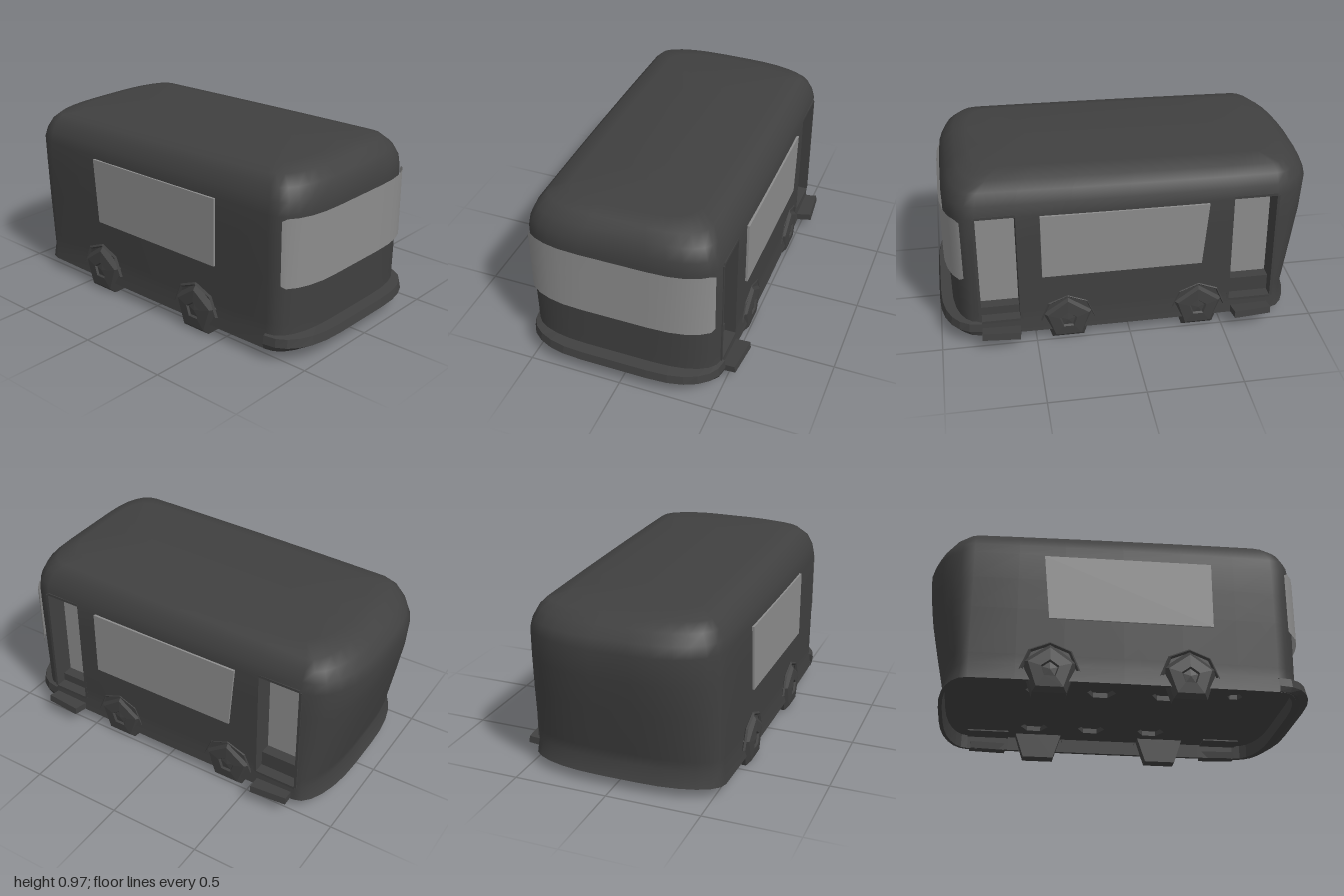
import * as THREE from 'three';

const paint = new THREE.MeshStandardMaterial({ color: 0x404040, side: THREE.DoubleSide });
const flatPaint = new THREE.MeshStandardMaterial({ color: 0x404040, side: THREE.DoubleSide, flatShading: true });
const glass = new THREE.MeshStandardMaterial({ color: 0x8c8c8c, side: THREE.DoubleSide });

const CX = -0.03;                                            // centre of the body in x
const SIDE = [0.785, 0.58, 0.3, 0, -0.3, -0.54, -0.77];      // side columns, door edges included
const N = 6;                                                 // steps per rounded corner
const FRONT = SIDE.length * 2 + N * 2;                       // first column of the front corners
const WALL = 0.482;                                          // x of the door-side wall

// Horizontal outline of the body: side, rear corners, other side, front corners
function ring([y, hw, zf, zb]) {
  const sf = Math.min(0.785, zf - 0.14), sb = Math.max(-0.77, zb + 0.115);
  const side = SIDE.map(z => sb + (sf - sb) * (z + 0.77) / 1.555);
  const pts = [];
  const add = (x, z) => {
    const slope = 0.021 * (0.6 - z) * Math.max(0, (y - 0.765) / 0.205);
    pts.push(new THREE.Vector3(CX + x * (1 - 0.025 * z * z), y - slope, z));
  };
  const corner = (sign, k, start, end, share, power) => {
    const a = k / N * Math.PI / 2, rx = hw * share;
    const c = Math.max(0, Math.cos(a)) ** power, s = Math.sin(a) ** power;
    add(sign * (hw - rx + rx * c), start + (end - start) * s);
  };
  side.forEach(z => add(hw, z));
  for (let k = 1; k <= N; k++) corner(1, k, sb, zb, 0.8, 0.95);
  for (let k = N; k >= 1; k--) corner(-1, k, sb, zb, 0.8, 0.95);
  [...side].reverse().forEach(z => add(-hw, z));
  for (let k = 1; k <= N; k++) corner(-1, k, sf, zf, 0.66, 0.85);
  for (let k = N; k >= 1; k--) corner(1, k, sf, zf, 0.66, 0.85);
  return pts;
}

// Surface through a stack of outlines; skip(row, column) leaves an opening
function loft(rings, closed = true, skip = () => false) {
  const n = rings[0].length, index = [];
  for (let i = 0; i < rings.length - 1; i++) {
    for (let j = 0; j < (closed ? n : n - 1); j++) {
      if (skip(i, j)) continue;
      const a = i * n + j, b = i * n + (j + 1) % n;
      index.push(a, b, b + n, a, b + n, a + n);
    }
  }
  const g = new THREE.BufferGeometry().setFromPoints(rings.flat());
  g.setIndex(index);
  g.computeVertexNormals();
  return g;
}

function part(parent, name, geometry, material, x = 0, y = 0, z = 0) {
  const m = new THREE.Mesh(geometry, material);
  m.name = name;
  m.position.set(x, y, z);
  parent.add(m);
  return m;
}

// Box given by its limits
function block(parent, name, material, x0, x1, y0, y1, z0, z1) {
  return part(parent, name, new THREE.BoxGeometry(x1 - x0, y1 - y0, z1 - z0), material,
    (x0 + x1) / 2, (y0 + y1) / 2, (z0 + z1) / 2);
}

// Recessed doorway with glass, inner step and folding outer step
function makeDoor(name, z0, z1, paneBottom, stepZ, twist) {
  const g = new THREE.Group();
  g.name = name;
  const x0 = WALL - 0.12, y0 = 0.14, y1 = 0.765, t = 0.012;
  block(g, 'doorGlass', glass, x0 - t, x0, y0, y1, z0, z1);
  block(g, 'rearJamb', paint, x0, WALL, y0, y1, z0 - t, z0 + 0.002);
  block(g, 'frontJamb', paint, x0, WALL, y0, y1, z1 - 0.002, z1 + t);
  block(g, 'lintel', paint, x0, WALL, y1 - 0.002, y1 + t, z0, z1);
  block(g, 'sill', paint, x0, WALL, y0 - t, y0 + 0.002, z0, z1);
  block(g, 'innerStep', paint, x0, x0 + 0.06, y0, paneBottom, z0, z1);
  const step = block(g, 'outerStep', paint, WALL - 0.02, 0.56, 0.066, 0.104, stepZ - 0.1, stepZ + 0.1);
  step.rotation.set(0, twist, 0.14);
  return g;
}

// Five-sided wheel with bevelled rim, hub and a peaked arch
function makeWheel(name, sign, z) {
  const g = new THREE.Group();
  g.name = name;
  const profile = [[0, 0], [0.144, 0], [0.144, 0.075], [0.115, 0.098], [0.048, 0.103], [0.04, 0.092], [0, 0.097]];
  const geo = new THREE.LatheGeometry(profile.map(p => new THREE.Vector2(...p)), 5);
  geo.rotateZ(-Math.PI / 2).rotateX(-Math.PI / 2);
  part(g, 'tyre', geo, flatPaint);
  const arch = part(g, 'wheelArch', new THREE.TorusGeometry(0.142, 0.01, 4, 4, Math.PI), flatPaint, 0.078, 0.002);
  arch.rotation.y = Math.PI / 2;
  g.position.set(sign > 0 ? 0.4 : -0.47, 0.116, z);
  if (sign < 0) g.rotation.y = Math.PI;
  return g;
}

export function createModel() {
  const bus = new THREE.Group();
  bus.name = 'bus';

  // Body shell: height, half width, front z, rear z
  const rows = [
    [0.06, 0.525, 0.93, -0.92], [0.14, 0.515, 0.93, -0.89], [0.2, 0.515, 0.93, -0.905],
    [0.45, 0.518, 0.935, -0.955], [0.62, 0.518, 0.94, -0.987], [0.765, 0.517, 0.942, -1.0],
    [0.83, 0.503, 0.935, -0.975], [0.89, 0.475, 0.905, -0.93], [0.935, 0.435, 0.855, -0.87],
    [0.962, 0.34, 0.78, -0.78], [0.972, 0, 0.5, -0.5],
  ];
  const isDoor = (i, j) => i >= 1 && i <= 4 && (j === 0 || j === 5);
  part(bus, 'bodyShell', loft(rows.map(ring), true, isDoor), paint);

  // Underside: thin skirt rim and floor with shallow seat-post sockets
  const inner = [0.135, 0.5, 0.91, -0.89];
  const skirt = [inner, [0.06, 0.505, 0.91, -0.9], rows[0]].map(ring);
  part(bus, 'skirtUnderside', loft(skirt), flatPaint);
  const floor = new THREE.Shape(ring(inner).map(p => new THREE.Vector2(p.x, p.z)));
  const sockets = [[-0.28, 0.62, 0.04]];
  for (const x of [-0.25, 0.28]) for (const z of [-0.4, -0.08, 0.26]) sockets.push([x, z, 0.075]);
  for (const [x, z, r] of sockets) {
    const hex = [0, 1, 2, 3, 4, 5].map(k =>
      new THREE.Vector2(x + r * Math.sin(k * Math.PI / 3), z + r * Math.cos(k * Math.PI / 3)));
    floor.holes.push(new THREE.Path(hex));
    part(bus, 'seatSocket', new THREE.CylinderGeometry(r, r, 0.03, 6, 1, true), flatPaint, x, 0.15, z);
    part(bus, 'socketEnd', new THREE.CylinderGeometry(r, r, 0.005, 6), flatPaint, x, 0.165, z);
  }
  part(bus, 'floor', new THREE.ShapeGeometry(floor).rotateX(Math.PI / 2), flatPaint, 0, 0.135, 0);

  // Front bumper wrapping both corners
  const bumper = [
    [0.06, 0.51, 0.92, -0.9], [0.062, 0.53, 0.95, -0.9], [0.09, 0.538, 1.0, -0.9],
    [0.135, 0.532, 0.99, -0.9], [0.142, 0.505, 0.92, -0.9],
  ].map(r => {
    const p = ring(r);
    return [...p.slice(FRONT - 1), p[0]];
  });
  part(bus, 'frontBumper', loft(bumper, false), flatPaint);

  // Curved windscreen with clipped corners
  const screen = [0.4, 0.42, 0.58, 0.74, 0.76].map((y, i) => {
    const p = ring([y, 0.53, 0.957, -1]).slice(FRONT, FRONT + 2 * N);
    const last = p.length - 1;
    const clip = i === 0 ? 0.014 : i === 4 ? -0.014 : 0;
    for (const [end, next] of [[p[0], p[1]], [p[last], p[last - 1]]]) {
      end.lerp(next, 0.5);
      end.y += clip;
    }
    return p;
  });
  part(bus, 'windscreen', loft(screen, false), glass);

  // Side windows, slanted at the rear edge
  const pane = new THREE.Shape([[-0.46, 0.4], [0.38, 0.4], [0.41, 0.755], [-0.46, 0.762]]
    .map(p => new THREE.Vector2(...p)));
  const paneGeo = new THREE.ExtrudeGeometry(pane, { depth: 0.02, bevelEnabled: false }).rotateY(Math.PI / 2);
  part(bus, 'leftSideWindow', paneGeo, glass, 0.477);
  part(bus, 'rightSideWindow', paneGeo, glass, -0.556);

  bus.add(makeDoor('frontDoor', 0.58, 0.785, 0.19, 0.685, -0.09));
  bus.add(makeDoor('rearDoor', -0.77, -0.54, 0.23, -0.655, 0.09));

  for (const [end, z] of [['front', 0.33], ['rear', -0.37]]) {
    bus.add(makeWheel(end + 'LeftWheel', 1, z), makeWheel(end + 'RightWheel', -1, z));
  }
  return bus;
}
